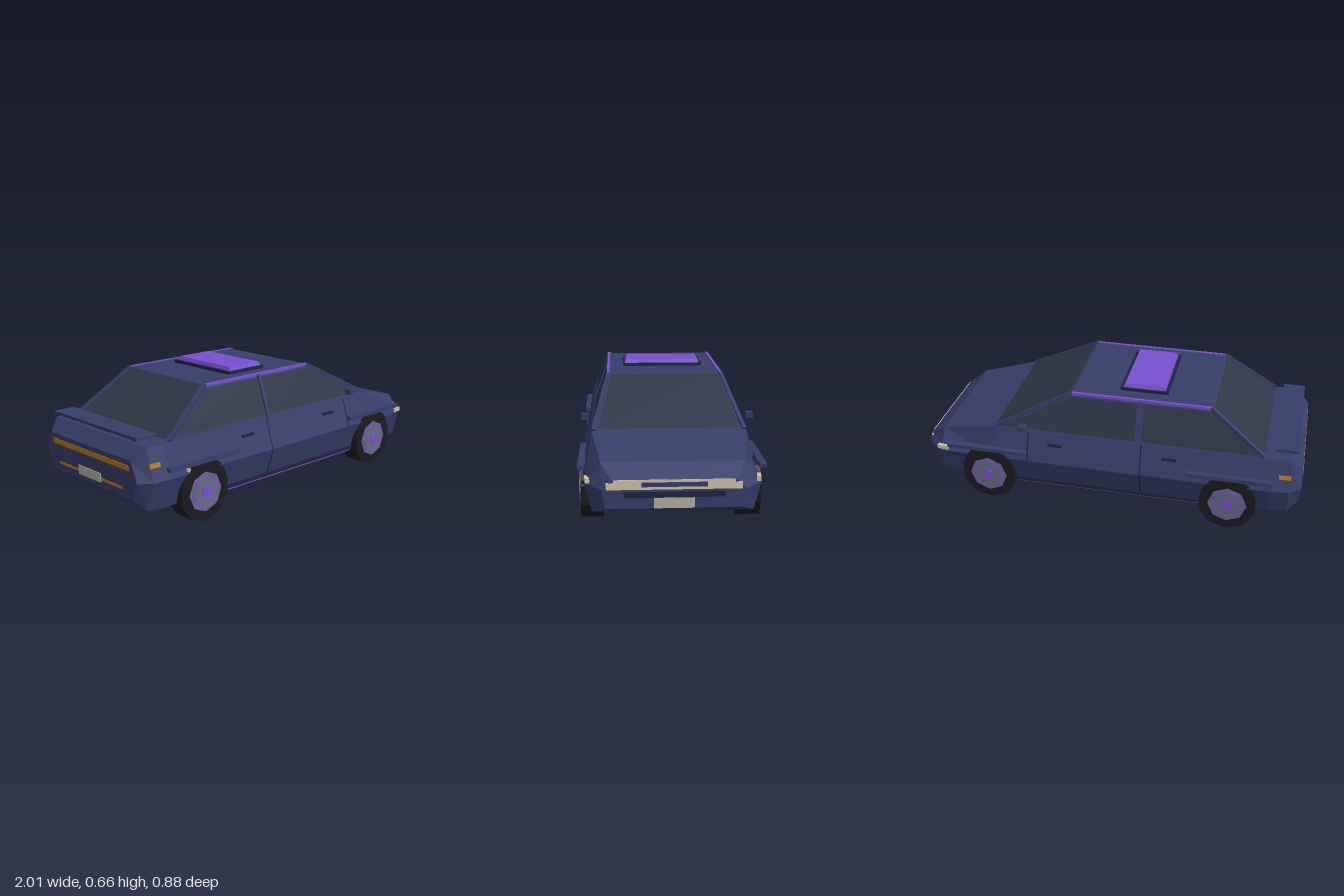
import * as THREE from 'three';

const material = (name, color) => {
  const m = new THREE.MeshStandardMaterial({ color, side: THREE.DoubleSide });
  m.name = name;
  return m;
};

export function createModel() {
  const car = new THREE.Group();
  car.name = 'car';
  const paint = material('navy paint', 0x373e69);
  const trim = material('dark trim', 0x20253f);
  const glass = material('tinted glass', 0x2e3746);
  const purple = material('purple accent', 0x7850d0);
  const rubber = material('black rubber', 0x1b1b20);
  const alloy = material('grey alloy', 0x666b82);
  const cream = material('headlight cream', 0xd2c4a8);
  const platePaint = material('number plate', 0xb6b2a2);
  const amber = material('amber lens', 0xb87818);

  const add = (name, geo, mat) => {
    const g = geo.index ? geo.toNonIndexed() : geo;
    g.computeVertexNormals();
    const mesh = new THREE.Mesh(g, mat);
    mesh.name = name;
    car.add(mesh);
    return mesh;
  };
  const box = (name, [w, h, d], [x, y, z], mat) => {
    const mesh = add(name, new THREE.BoxGeometry(w, h, d), mat);
    mesh.position.set(x, y, z);
    return mesh;
  };
  // square bar running between two points
  const bar = (name, a, b, size, mat) => {
    const p = new THREE.Vector3(...a), q = new THREE.Vector3(...b);
    const mesh = add(name, new THREE.BoxGeometry(size, size, p.distanceTo(q)), mat);
    mesh.position.copy(p).lerp(q, 0.5);
    mesh.lookAt(q);
    return mesh;
  };
  // convex flat plate from 3D corners, wound either way
  const plate = (name, pts, mat, flip = false) => {
    const v = [];
    for (let i = 1; i < pts.length - 1; i++) {
      v.push(...pts[0], ...(flip ? [...pts[i + 1], ...pts[i]] : [...pts[i], ...pts[i + 1]]));
    }
    const g = new THREE.BufferGeometry();
    g.setAttribute('position', new THREE.Float32BufferAttribute(v, 3));
    return add(name, g, mat);
  };
  // skin through rings of [x,y,z] points, with end caps
  const loft = (name, rings, mat) => {
    const v = [], n = rings[0].length;
    for (let i = 0; i < rings.length - 1; i++) {
      for (let j = 0; j < n; j++) {
        const k = (j + 1) % n;
        const a = rings[i][j], b = rings[i][k], c = rings[i + 1][k], d = rings[i + 1][j];
        v.push(...a, ...b, ...c, ...a, ...c, ...d);
      }
    }
    const first = rings[0], last = rings[rings.length - 1];
    for (let j = 1; j < n - 1; j++) {
      v.push(...first[0], ...first[j + 1], ...first[j], ...last[0], ...last[j], ...last[j + 1]);
    }
    const g = new THREE.BufferGeometry();
    g.setAttribute('position', new THREE.Float32BufferAttribute(v, 3));
    return add(name, g, mat);
  };

  // lower body: x, top y, top half width, waist y, waist half width, bottom y, bottom half width
  const sections = [
    [-1, 0.36, 0.33, 0.26, 0.37, 0.17, 0.33],
    [-0.94, 0.42, 0.37, 0.26, 0.415, 0.115, 0.37],
    [-0.85, 0.42, 0.375, 0.26, 0.425, 0.112, 0.38],
    [0.61, 0.42, 0.375, 0.26, 0.425, 0.112, 0.38],
    [0.91, 0.348, 0.33, 0.25, 0.405, 0.115, 0.37],
    [1, 0.288, 0.28, 0.245, 0.325, 0.157, 0.31],
  ];
  loft('lowerBody', sections.map(([x, yt, wt, ym, wm, yb, wb]) => [
    [x, yt, wt], [x, ym, wm], [x, yb, wb], [x, yb, -wb], [x, ym, -wm], [x, yt, -wt],
  ]), paint);

  // cabin: a box tapered towards the roof
  const cabin = new THREE.BoxGeometry(1, 1, 1);
  const cp = cabin.attributes.position;
  for (let i = 0; i < cp.count; i++) {
    const top = cp.getY(i) > 0, front = cp.getX(i) > 0;
    cp.setXYZ(i, top ? (front ? 0.2 : -0.52) : (front ? 0.61 : -0.81),
      top ? 0.63 : 0.415, Math.sign(cp.getZ(i)) * (top ? 0.295 : 0.372));
  }
  add('cabin', cabin, paint);

  // windscreen and rear window
  plate('windscreen', [[0.604, 0.428, 0.345], [0.604, 0.428, -0.345],
    [0.212, 0.629, -0.278], [0.212, 0.629, 0.278]], glass);
  plate('rearWindow', [[-0.808, 0.425, -0.345], [-0.808, 0.425, 0.345],
    [-0.532, 0.629, 0.278], [-0.532, 0.629, -0.278]], glass);

  // height-dependent positions just outside the cabin and door skins
  const cabinZ = (y) => 0.372 - 0.077 * (y - 0.415) / 0.215 + 0.004;
  const doorZ = (y) => (y > 0.26 ? 0.425 - 0.05 * (y - 0.26) / 0.16
    : 0.425 - 0.045 * (0.26 - y) / 0.148) + 0.004;

  for (const s of [1, -1]) {
    const side = (name, pts, zOf, mat) =>
      plate(name, pts.map(([x, y]) => [x, y, s * zOf(y)]), mat, s < 0);
    const rect = (name, x0, x1, y0, y1, mat) =>
      side(name, [[x0, y0], [x1, y0], [x1, y1], [x0, y1]], doorZ, mat);

    // side windows, pillars and roof rail
    side('rearSideWindow', [[-0.775, 0.428], [-0.18, 0.428], [-0.18, 0.612], [-0.525, 0.612]], cabinZ, glass);
    side('frontSideWindow', [[-0.145, 0.428], [0.565, 0.428], [0.2, 0.612], [-0.145, 0.612]], cabinZ, glass);
    bar('centrePillar', [-0.162, 0.42, s * 0.37], [-0.162, 0.625, s * 0.297], 0.02, paint);
    bar('frontPillar', [0.605, 0.42, s * 0.366], [0.2, 0.628, s * 0.293], 0.02, paint);
    bar('rearPillar', [-0.805, 0.42, s * 0.366], [-0.52, 0.628, s * 0.293], 0.02, paint);
    box('roofRail', [0.72, 0.014, 0.014], [-0.16, 0.627, s * 0.295], purple);

    // door seams, handles, sill and underglow strip
    for (const x of [-0.182, 0.42]) {
      rect('upperDoorSeam', x - 0.004, x + 0.004, 0.262, 0.418, trim);
      if (x < 0) rect('lowerDoorSeam', x - 0.004, x + 0.004, 0.114, 0.258, trim);
    }
    for (const x of [-0.33, 0.275]) {
      box('doorHandle', [0.075, 0.012, 0.014], [x, 0.36, s * 0.397], trim);
    }
    box('sill', [1.02, 0.02, 0.02], [0, 0.117, s * 0.378], trim);
    box('underglowStrip', [1.0, 0.01, 0.01], [0, 0.1, s * 0.37], purple);

    // wing mirror
    box('wingMirror', [0.04, 0.03, 0.036], [0.44, 0.456, s * 0.412], paint);

    // side marker lamps
    const rearMarker = box('rearMarker', [0.06, 0.022, 0.02], [-0.915, 0.334, s * 0.39], amber);
    rearMarker.rotation.x = -s * 0.28;
    const frontMarker = box('frontMarker', [0.062, 0.022, 0.02], [0.9, 0.266, s * 0.393], cream);
    frontMarker.rotation.y = s * 0.12;

    // wheels with arches and fender strips
    for (const x of [-0.64, 0.64]) {
      const arch = new THREE.Shape([[-0.135, 0.114], [0.135, 0.114], [0.135, 0.22], [0.1, 0.275],
        [0.06, 0.298], [-0.06, 0.298], [-0.1, 0.275], [-0.135, 0.22]].map((p) => new THREE.Vector2(...p)));
      const archMesh = add('wheelArch', new THREE.ExtrudeGeometry(arch, { depth: 0.03, bevelEnabled: false }), rubber);
      archMesh.position.set(x, 0, s > 0 ? 0.394 : -0.424);
      box('fenderStrip', [0.435, 0.02, 0.034], [x, 0.306, s * 0.42], paint);

      const disc = (name, r, z0, z1, sides, mat) => {
        const m = add(name, new THREE.CylinderGeometry(r, r, z1 - z0, sides).rotateX(Math.PI / 2), mat);
        m.position.set(x, 0.15, s * (z0 + z1) / 2);
      };
      disc('tyre', 0.15, 0.32, 0.427, 10, rubber);
      disc('rim', 0.1, 0.4, 0.43, 8, alloy);
      disc('rimRing', 0.088, 0.4, 0.433, 8, purple);
      disc('wheelDisc', 0.078, 0.4, 0.435, 8, alloy);
      disc('hubCap', 0.034, 0.4, 0.439, 6, purple);
    }
  }

  // fuel cap on one side
  const cap = add('fuelCap', new THREE.CylinderGeometry(0.012, 0.012, 0.012, 6).rotateX(Math.PI / 2), platePaint);
  cap.position.set(-0.74, 0.28, 0.422);

  // roof hatch
  box('hatchFrame', [0.25, 0.016, 0.43], [-0.162, 0.637, 0], trim);
  const hatch = new THREE.BoxGeometry(0.22, 0.02, 0.41);
  const hp = hatch.attributes.position;
  for (let i = 0; i < hp.count; i++) {
    if (hp.getY(i) > 0) hp.setXYZ(i, hp.getX(i) * 0.93, hp.getY(i), hp.getZ(i) * 0.96);
  }
  add('hatchPanel', hatch, purple).position.set(-0.162, 0.654, 0);

  // nose: light bar, grille, bumper slot and plate
  box('lightBar', [0.008, 0.032, 0.61], [0.999, 0.26, 0], cream);
  box('upperLightBar', [0.008, 0.014, 0.546], [0.999, 0.282, 0], cream);
  box('grille', [0.008, 0.021, 0.295], [1.001, 0.267, 0], paint);
  box('bumperSlot', [0.008, 0.026, 0.456], [0.999, 0.22, 0], trim);
  box('frontPlate', [0.008, 0.048, 0.184], [0.999, 0.181, 0], platePaint);

  // tail: lamp bars and plate
  box('tailLampBar', [0.008, 0.026, 0.62], [-0.999, 0.322, 0], amber);
  box('lowerTailLamp', [0.008, 0.012, 0.52], [-0.999, 0.215, 0], amber);
  box('rearPlate', [0.008, 0.046, 0.184], [-1, 0.22, 0], platePaint);

  // rear spoiler on two posts
  box('spoiler', [0.115, 0.014, 0.68], [-0.914, 0.455, 0], paint);
  for (const z of [-0.25, 0.25]) box('spoilerPost', [0.016, 0.04, 0.02], [-0.914, 0.435, z], trim);

  return car;
}
